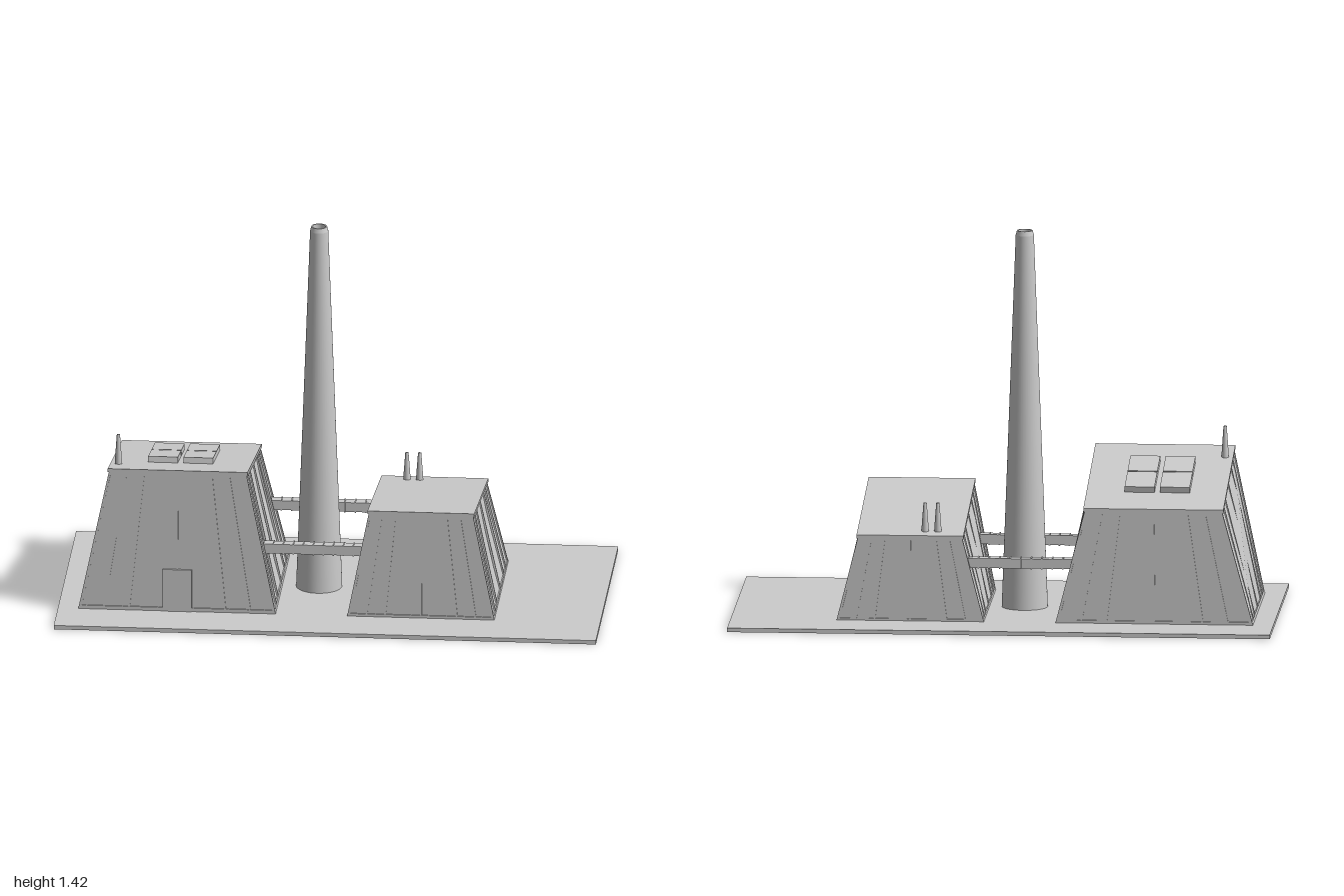
import * as THREE from 'three';

const GROUND = 0.015;
const material = new THREE.MeshStandardMaterial({ color: 0xcccccc, side: THREE.DoubleSide });

function add(parent, geometry, name, x = 0, y = 0, z = 0) {
  const mesh = new THREE.Mesh(geometry, material);
  mesh.name = name;
  mesh.position.set(x, y, z);
  parent.add(mesh);
  return mesh;
}

// Six-sided block from four bottom and four top corners, each counter-clockwise seen from above
function block(bottom, top) {
  const c = [...bottom, ...top];
  const quads = [[3, 2, 1, 0], [4, 5, 6, 7]];
  for (let i = 0; i < 4; i++) {
    const j = (i + 1) % 4;
    quads.push([i, j, j + 4, i + 4]);
  }
  const positions = [];
  for (const [a, b, d, e] of quads) {
    for (const k of [a, b, d, a, d, e]) positions.push(c[k].x, c[k].y, c[k].z);
  }
  const g = new THREE.BufferGeometry();
  g.setAttribute('position', new THREE.Float32BufferAttribute(positions, 3));
  g.computeVertexNormals();
  return g;
}

// Four corners of a sloping rectangle: front left, front right, back right, back left
function ring(x0, x1, z, yFront, yBack) {
  return [[x0, yFront, z], [x1, yFront, z], [x1, yBack, -z], [x0, yBack, -z]]
    .map(p => new THREE.Vector3(...p));
}

// Patch of a wall between fractions u (along) and v (up), from depth `inner` to `outer`
function wallStrip([a, b, c, d], u0, u1, v0, v1, inner, outer) {
  const normal = b.clone().sub(a).cross(d.clone().sub(a)).normalize();
  const at = (u, v, depth) => a.clone().lerp(b, u)
    .lerp(d.clone().lerp(c, u), v).addScaledVector(normal, depth);
  const level = v => [at(u0, v, outer), at(u1, v, outer), at(u1, v, inner), at(u0, v, inner)];
  return block(level(v0), level(v1));
}

// Tapered hall with framed walls and a mono-pitch roof falling towards the back
function building(name, b0, b1, t0, t1, yFront, yBack) {
  const group = new THREE.Group();
  group.name = name;
  const inset = 0.005, half = 0.317, slab = 0.013;
  add(group, block(ring(b0 + inset, b1 - inset, half - inset, GROUND, GROUND),
    ring(t0 + inset, t1 - inset, half - inset, yFront - slab, yBack - slab)), 'wallPanels');

  const low = ring(b0, b1, half, GROUND, GROUND);
  const high = ring(t0, t1, half, yFront - slab, yBack - slab);
  for (let i = 0; i < 4; i++) {
    const j = (i + 1) % 4;
    const wall = [low[i], low[j], high[j], high[i]];
    const length = low[i].distanceTo(low[j]);
    const strip = (part, u0, u1, v0, v1) =>
      add(group, wallStrip(wall, u0, u1, v0, v1, -0.008, 0), part);
    // Corner posts, sill and head rail
    const post = 0.011 / length;
    strip('cornerPost', 0, post, 0, 1);
    strip('cornerPost', 1 - post, 1, 0, 1);
    strip('sillRail', post, 1 - post, 0, 0.025);
    strip('headRail', post, 1 - post, 0.98, 1);
    // Narrow ribs between the panels
    const rib = 0.0035 / length;
    for (const u of [0.128, 0.255, 0.5, 0.745, 0.872]) {
      strip('wallRib', u - rib, u + rib, 0.025, 0.98);
    }
  }

  add(group, block(ring(t0 - 0.004, t1 + 0.004, 0.32, yFront - slab, yBack - slab),
    ring(t0 - 0.004, t1 + 0.004, 0.32, yFront, yBack)), 'roof');
  return group;
}

// Small tapered vent pipe
function vent(parent, x, y, z, height) {
  const profile = [[0.014, 0], [0.012, height * 0.3], [0.006, height], [0, height]]
    .map(p => new THREE.Vector2(...p));
  add(parent, new THREE.LatheGeometry(profile, 16), 'roofVent', x, y, z);
}

export function createModel() {
  const model = new THREE.Group();
  model.name = 'powerStation';

  add(model, new THREE.BoxGeometry(2, GROUND, 1.01), 'groundPlate', 0, GROUND / 2, 0);

  // Large hall
  const large = building('largeHall', -0.925, -0.197, -0.812, -0.304, 0.567, 0.445);
  model.add(large);
  add(large, new THREE.BoxGeometry(0.107, 0.163, 0.02), 'door', -0.56, GROUND + 0.0815, 0.31);

  // Four skylights following the roof pitch
  const pitch = (0.567 - 0.445) / 0.64;
  const roofY = z => 0.506 + z * pitch;
  for (const x of [-0.626, -0.496]) {
    for (const z of [-0.082, 0.075]) {
      const light = add(large, new THREE.BoxGeometry(0.11, 0.03, 0.152), 'skylight',
        x, roofY(z) + 0.007, z);
      light.rotation.x = -Math.atan(pitch);
    }
  }
  vent(large, -0.786, 0.535, 0.205, 0.125);

  // Small hall
  const small = building('smallHall', 0.067, 0.61, 0.146, 0.532, 0.43, 0.335);
  model.add(small);
  for (const x of [0.24, 0.287]) vent(small, x, 0.335, -0.265, 0.113);

  // Tall hollow chimney
  const stack = [[0, GROUND], [0.085, GROUND], [0.0335, 1.405], [0.029, 1.422],
    [0.024, 1.422], [0.024, 1.39], [0, 1.39]].map(p => new THREE.Vector2(...p));
  // Split the profile so that the rim stays sharp
  for (const [name, from, to] of [['chimneyShaft', 1, 3], ['chimneyLip', 2, 4],
    ['chimneyRim', 3, 5], ['chimneyBore', 4, 6], ['chimneyPlug', 5, 7]]) {
    add(model, new THREE.LatheGeometry(stack.slice(from, to), 40), name, -0.062, 0, 0);
  }

  // Banded conveyor bridges between the halls
  for (const [x0, x1, z] of [[-0.264, 0.13, -0.275], [-0.254, 0.12, 0.19]]) {
    const bridge = new THREE.Group();
    bridge.name = 'bridge';
    model.add(bridge);
    add(bridge, new THREE.BoxGeometry(x1 - x0, 0.036, 0.038), 'bridgeTube', (x0 + x1) / 2, 0.23, z);
    for (let i = 0; i <= 10; i++) {
      add(bridge, new THREE.BoxGeometry(0.005, 0.04, 0.042), 'bridgeBand',
        x0 + 0.0025 + (x1 - x0 - 0.005) * i / 10, 0.23, z);
    }
  }
  return model;
}
